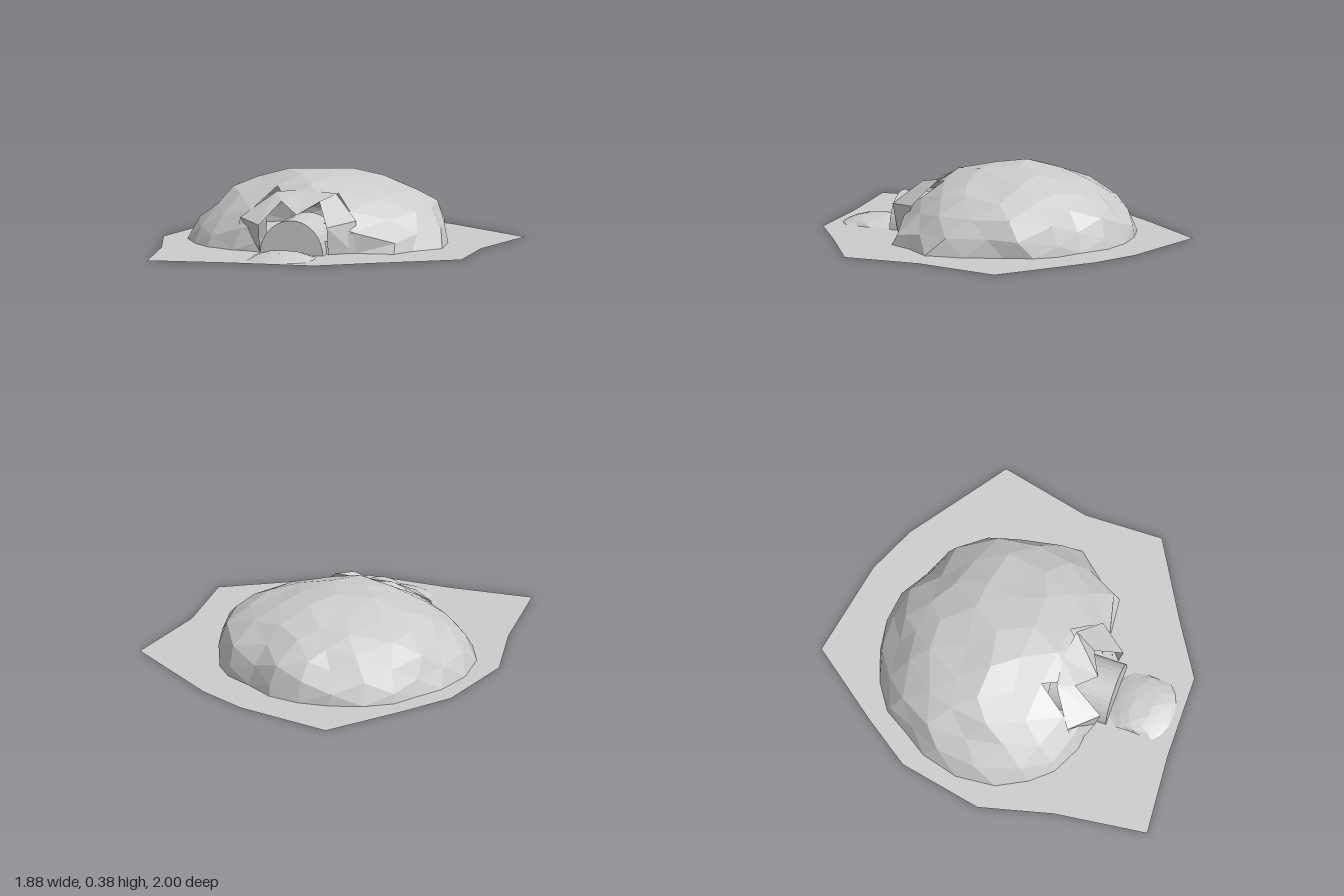
import * as THREE from 'three';

// Repeatable value in -1..1 from a point, so shared corners move together
function hash(x, y, z, k) {
  const q = (v) => Math.round(v * 500) / 500 + 0;
  const s = Math.sin(q(x) * 127.1 + q(y) * 311.7 + q(z) * 74.7 + k * 53.3) * 43758.5453;
  return (s - Math.floor(s)) * 2 - 1;
}

// Distance from the centre to a ground outline in a given direction
function outlineRadius(points, cx, cz) {
  const polar = points
    .map(([x, z]) => ({ a: Math.atan2(z - cz, x - cx), r: Math.hypot(x - cx, z - cz) }))
    .sort((p, q) => p.a - q.a);
  const first = polar[0], last = polar[polar.length - 1];
  const ring = [
    { a: last.a - 2 * Math.PI, r: last.r }, ...polar,
    { a: first.a + 2 * Math.PI, r: first.r },
  ];
  return (angle) => {
    let i = 0;
    while (i < ring.length - 2 && ring[i + 1].a < angle) i++;
    const t = (angle - ring[i].a) / (ring[i + 1].a - ring[i].a);
    return THREE.MathUtils.lerp(ring[i].r, ring[i + 1].r, t);
  };
}

// Rough faceted heap: upper half of a geodesic ball fitted to an outline
function heapGeometry({ outline, cx, cz, rx, rz, height, detail, rough, isOpen }) {
  const radius = outlineRadius(outline, cx, cz);
  const src = new THREE.IcosahedronGeometry(1, detail).attributes.position;
  const out = [];
  for (let i = 0; i < src.count; i += 3) {
    const tri = [];
    let above = false;
    for (let j = i; j < i + 3; j++) {
      const x = src.getX(j), y = src.getY(j), z = src.getZ(j);
      if (y > 0.001) above = true;
      const angle = Math.atan2(z, x);
      const up = Math.max(0, y);
      const spread = y <= 0 ? 1 : Math.hypot(x, z);
      const ellipse = 1 / Math.hypot(Math.cos(angle) / rx, Math.sin(angle) / rz);
      const r = THREE.MathUtils.lerp(radius(angle), ellipse, Math.min(1, up * 2.5)) * spread;
      const n = up > 0 ? rough : 0;
      tri.push(new THREE.Vector3(
        cx + Math.cos(angle) * r + hash(x, y, z, 1) * n,
        up * height * (1 + hash(x, y, z, 2) * 0.06),
        cz + Math.sin(angle) * r + hash(x, y, z, 3) * n,
      ));
    }
    const mid = tri[0].clone().add(tri[1]).add(tri[2]).divideScalar(3);
    if (!above || (isOpen && isOpen(mid))) continue;
    tri.forEach((v) => out.push(v.x, v.y, v.z));
  }
  return facets(out);
}

function facets(positions) {
  const g = new THREE.BufferGeometry();
  g.setAttribute('position', new THREE.Float32BufferAttribute(positions, 3));
  g.computeVertexNormals();
  return g;
}

export function createModel() {
  const group = new THREE.Group();
  const grey = new THREE.MeshStandardMaterial({
    color: 0xcccccc, flatShading: true, side: THREE.DoubleSide,
  });
  grey.name = 'pale grey';
  const add = (name, geometry) => {
    const mesh = new THREE.Mesh(geometry, grey);
    mesh.name = name;
    group.add(mesh);
    return mesh;
  };

  // Flat ground patch with an uneven edge
  const edge = [
    [-0.36, -1], [0.17, -0.89], [0.43, -0.77], [0.94, -0.4], [0.83, 0.09], [0.84, 0.52], [0.42, 0.77],
    [0.14, 0.95], [-0.33, 0.96], [-0.78, 1], [-0.84, 0.49], [-0.94, 0.09], [-0.84, -0.37], [-0.66, -0.62],
  ];
  const ground = new THREE.ShapeGeometry(new THREE.Shape(edge.map(([x, z]) => new THREE.Vector2(x, -z))));
  add('ground', ground.rotateX(-Math.PI / 2));

  // Main dome, left open around the entrance
  add('dome', heapGeometry({
    outline: [
      [-0.1, -0.72], [0.1, -0.69], [0.27, -0.57], [0.42, -0.51], [0.5, -0.36], [0.53, -0.2], [0.62, -0.03],
      [0.63, 0.14], [0.49, 0.3], [0.43, 0.43], [0.22, 0.44], [0.1, 0.5], [-0.28, 0.5], [-0.45, 0.49],
      [-0.6, 0.42], [-0.79, 0.15], [-0.81, -0.03], [-0.79, -0.23], [-0.67, -0.37], [-0.62, -0.51], [-0.29, -0.69],
    ],
    cx: -0.09, cz: -0.08, rx: 0.69, rz: 0.62, height: 0.375, detail: 3, rough: 0.025,
    isOpen: (p) => Math.abs(p.x + 0.09) < 0.2 && p.z > 0.3 && p.y < 0.27,
  }));

  // Jagged rim that joins the dome to the entrance
  const inner = [
    [-0.28, 0, 0.53], [-0.28, 0.15, 0.56], [-0.2, 0.26, 0.39], [-0.09, 0.2, 0.48],
    [0.02, 0.27, 0.42], [0.1, 0.15, 0.56], [0.1, 0, 0.53],
  ];
  const outer = [
    [-0.45, 0, 0.47], [-0.42, 0.17, 0.42], [-0.25, 0.3, 0.3], [-0.09, 0.31, 0.28],
    [0.08, 0.3, 0.3], [0.22, 0.17, 0.4], [0.22, 0, 0.43],
  ];
  const rim = [];
  for (let i = 0; i < inner.length - 1; i++) {
    rim.push(...inner[i], ...outer[i + 1], ...outer[i]);
    rim.push(...inner[i], ...inner[i + 1], ...outer[i + 1]);
  }
  add('entranceRim', facets(rim));

  // Arched entrance tunnel
  const tunnel = new THREE.CylinderGeometry(0.175, 0.175, 0.34, 16, 1, false, Math.PI / 2, Math.PI);
  tunnel.rotateX(Math.PI / 2).scale(1, 1.06, 1);
  add('entranceTunnel', tunnel).position.set(-0.09, 0, 0.415);

  // Low heap in front of the entrance
  add('frontHeap', heapGeometry({
    outline: [
      [-0.22, 0.59], [0.02, 0.59], [0.08, 0.66], [0.06, 0.75], [0.08, 0.82],
      [-0.09, 0.91], [-0.28, 0.83], [-0.24, 0.74], [-0.27, 0.66],
    ],
    cx: -0.1, cz: 0.74, rx: 0.17, rz: 0.155, height: 0.04, detail: 2, rough: 0.008,
  }));

  return group;
}
